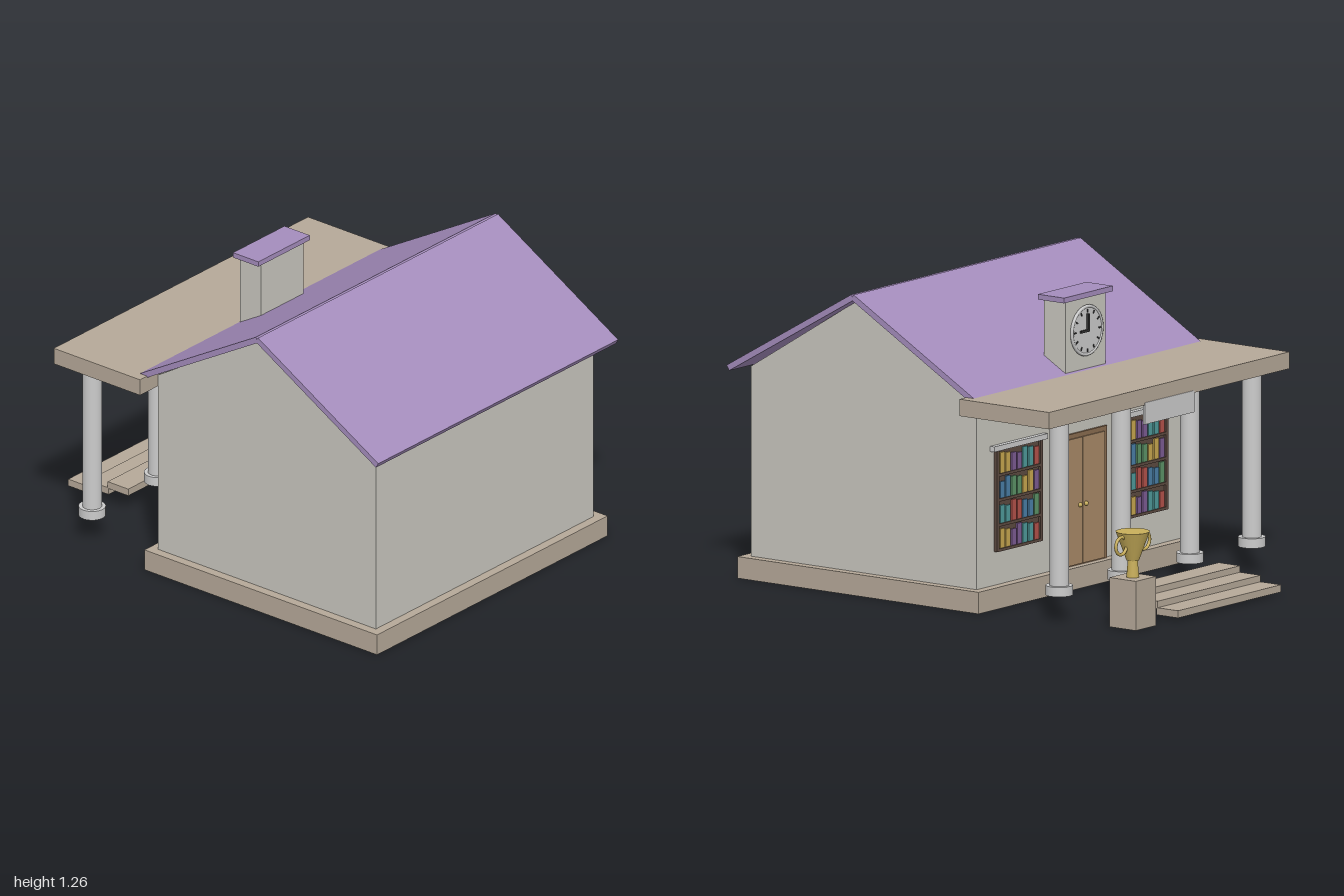
import * as THREE from 'three';

const mat = (color) => new THREE.MeshStandardMaterial({ color });
const M = {
  wall: mat(0xc8c6be), stone: mat(0xb5a898), roof: mat(0xa48cbc), grey: mat(0xcccccc),
  wood: mat(0xa98a68), darkWood: mat(0x8a6c50), frame: mat(0x5c4a40), gold: mat(0xc8ae5a), dark: mat(0x333333),
};
const bookMats = [0xb5524a, 0x4a7fa8, 0x5c9468, 0xc9a850, 0x7d5c94, 0x4f9c9c].map(mat);

export function createModel() {
  const root = new THREE.Group();
  const add = (name, geometry, material, x, y, z, parent = root) => {
    const mesh = new THREE.Mesh(geometry, material);
    mesh.name = name;
    mesh.position.set(x, y, z);
    parent.add(mesh);
    return mesh;
  };
  // Box given by its min and max on each axis
  const box = (name, material, x0, x1, y0, y1, z0, z1, parent) =>
    add(name, new THREE.BoxGeometry(x1 - x0, y1 - y0, z1 - z0), material,
      (x0 + x1) / 2, (y0 + y1) / 2, (z0 + z1) / 2, parent);
  const group = (name, x = 0, y = 0, z = 0) => {
    const g = new THREE.Group();
    g.name = name;
    g.position.set(x, y, z);
    root.add(g);
    return g;
  };

  // Foundation and gabled walls (profile in z and y, extruded along x)
  box('foundation', M.stone, -0.73, 0.73, 0, 0.09, -0.27, 0.97);
  const profile = new THREE.Shape([[-0.93, 0.09], [0.23, 0.09], [0.23, 0.88], [-0.355, 1.235], [-0.93, 0.88]]
    .map(([a, b]) => new THREE.Vector2(a, b)));
  const walls = new THREE.ExtrudeGeometry(profile, { depth: 1.38, bevelEnabled: false });
  walls.translate(0, 0, -0.69).rotateY(Math.PI / 2);
  add('walls', walls, M.wall, 0, 0, 0);

  // Roof slabs
  for (const s of [-1, 1]) {
    const slab = add('roofSlab', new THREE.BoxGeometry(1.52, 0.025, 0.74), M.roof, 0, 1.061, 0.355 + s * 0.32);
    slab.rotation.x = s * Math.PI / 6;
  }

  // Porch roof, blank sign and columns
  box('porchRoof', M.stone, -0.805, 0.805, 0.83, 0.9, -0.69, -0.23);
  box('signBoard', M.grey, -0.165, 0.165, 0.75, 0.84, -0.693, -0.683);
  for (const x of [-0.645, -0.23, 0.23, 0.645]) {
    const column = group('column', x, 0, -0.62);
    add('columnShaft', new THREE.CylinderGeometry(0.04, 0.04, 0.69, 24), M.grey, 0, 0.485, 0, column);
    add('columnBase', new THREE.CylinderGeometry(0.056, 0.056, 0.04, 24), M.grey, 0, 0.13, 0, column);
  }

  // Entrance steps
  for (let i = 0; i < 3; i++) {
    const z = -0.68 - i * 0.105, y = 0.065 - i * 0.027;
    box('step', M.stone, -0.345, 0.345, y, y + 0.03, z - 0.11, z);
  }

  // Double door
  const door = group('door');
  box('doorFrame', M.darkWood, -0.17, 0.17, 0.09, 0.64, -0.24, -0.225, door);
  for (const s of [-1, 1]) {
    box('doorLeaf', M.wood, s * 0.076 - 0.073, s * 0.076 + 0.073, 0.095, 0.62, -0.246, -0.23, door);
    add('doorKnob', new THREE.SphereGeometry(0.01, 12, 8), M.gold, s * 0.02, 0.34, -0.248, door);
  }

  // Windows showing shelves of books
  for (const s of [-1, 1]) {
    const win = group('bookWindow', s * 0.42);
    box('windowBack', M.frame, -0.15, 0.15, 0.23, 0.65, -0.235, -0.225, win);
    for (const t of [-1, 1])
      box('windowSide', M.frame, t * 0.145 - 0.008, t * 0.145 + 0.008, 0.23, 0.65, -0.246, -0.23, win);
    box('windowLintel', M.grey, -0.18, 0.18, 0.65, 0.672, -0.252, -0.225, win);
    for (let r = 0; r < 4; r++) {
      const y = 0.235 + r * 0.104;
      box('shelf', M.frame, -0.15, 0.15, y - 0.006, y + 0.006, -0.246, -0.23, win);
      for (let b = 0; b < 7; b++) {
        const x = -0.132 + b * 0.038, h = 0.068 + ((b * 5 + r * 3) % 4) * 0.006;
        box('book', bookMats[(b * 5 + r * 2 + (b >> 1)) % 6], x, x + 0.03, y + 0.006, y + 0.006 + h, -0.242, -0.23, win);
      }
    }
  }

  // Clock tower
  const tower = group('clockTower');
  box('towerBody', M.wall, -0.135, 0.135, 0.88, 1.205, -0.26, -0.15, tower);
  box('towerCap', M.roof, -0.163, 0.163, 1.203, 1.225, -0.275, -0.14, tower);
  const face = add('clockFace', new THREE.CylinderGeometry(0.1, 0.1, 0.012, 32), M.grey, 0, 1.065, -0.264, tower);
  face.rotation.x = Math.PI / 2;
  add('clockRim', new THREE.TorusGeometry(0.1, 0.007, 8, 32), M.grey, 0, 1.065, -0.267, tower);
  for (let i = 0; i < 12; i++) {
    const a = i * Math.PI / 6;
    const tick = add('hourMark', new THREE.BoxGeometry(0.006, 0.014, 0.004), M.dark,
      Math.sin(a) * 0.082, 1.065 + Math.cos(a) * 0.082, -0.271, tower);
    tick.rotation.z = -a;
  }
  box('minuteHand', M.dark, -0.005, 0.005, 1.06, 1.135, -0.278, -0.27, tower);
  box('hourHand', M.dark, 0, 0.05, 1.06, 1.07, -0.278, -0.27, tower);

  // Trophy on a pedestal
  const trophy = group('trophy', 0.55, 0, -0.925);
  box('pedestal', M.stone, -0.068, 0.068, 0, 0.205, -0.068, 0.068, trophy);
  add('trophyStem', new THREE.CylinderGeometry(0.02, 0.026, 0.075, 20), M.gold, 0, 0.2425, 0, trophy);
  add('trophyCup', new THREE.CylinderGeometry(0.07, 0.026, 0.12, 24), M.gold, 0, 0.335, 0, trophy);
  for (const s of [-1, 1])
    add('trophyHandle', new THREE.TorusGeometry(0.036, 0.007, 8, 24), M.gold, s * 0.077, 0.345, 0, trophy);

  return root;
}
